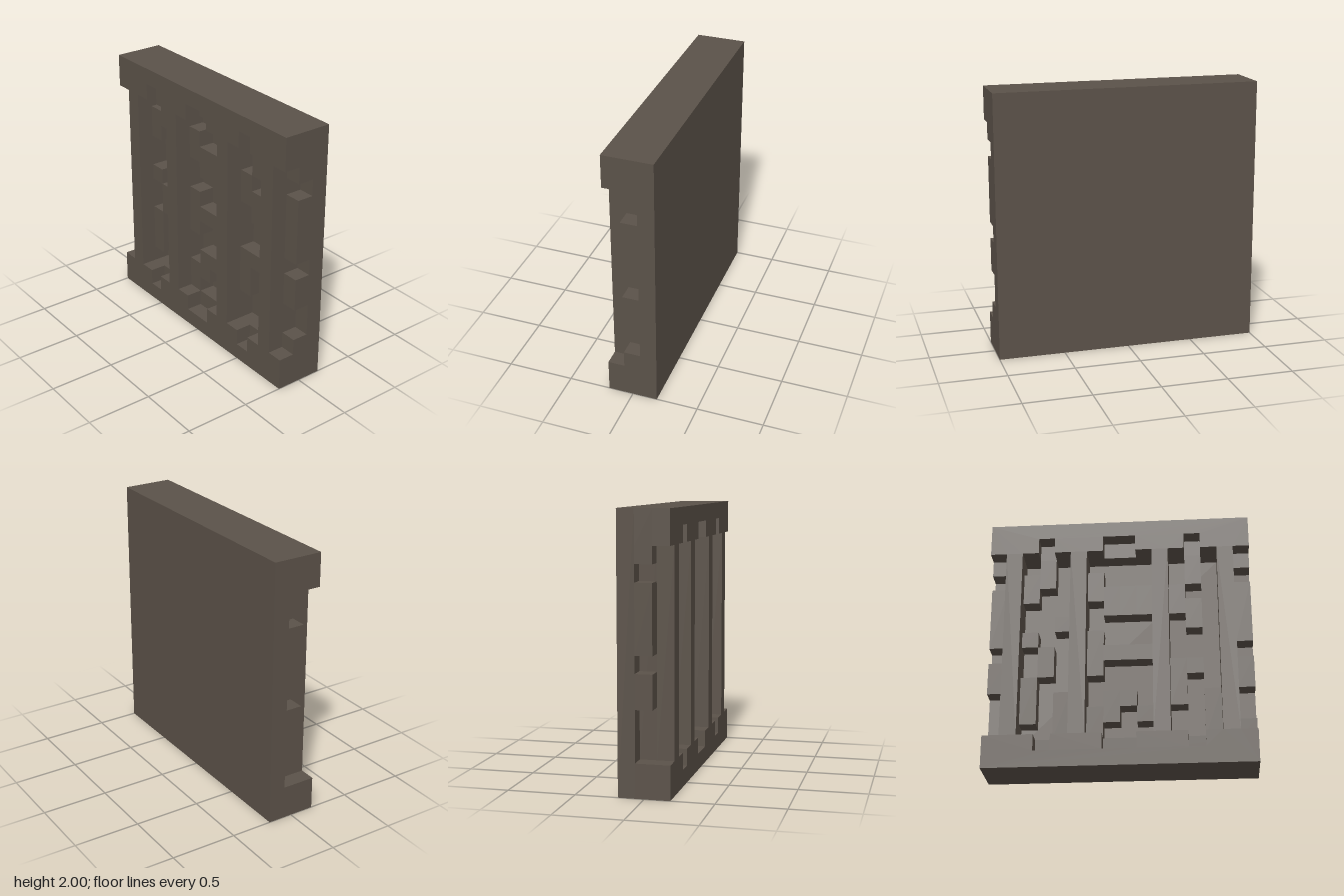
import * as THREE from 'three';

const U = 0.125; // grid unit: the panel is 16 x 16 units and 3 thick

export function createModel() {
  const group = new THREE.Group();
  group.name = 'slattedPanel';
  const stone = new THREE.MeshStandardMaterial({ color: 0x5b5249 });
  stone.name = 'dark brown';

  const add = (name, geometry) => {
    const mesh = new THREE.Mesh(geometry, stone);
    mesh.name = name;
    group.add(mesh);
    return mesh;
  };

  // Box from grid ranges: k along z, j up, d = depth from the -x face
  const block = (name, k0, k1, j0, j1, d0, d1) => {
    const mesh = add(name, new THREE.BoxGeometry((d1 - d0) * U, (j1 - j0) * U, (k1 - k0) * U));
    mesh.position.set(((d0 + d1) / 2 - 1.5) * U, ((j0 + j1) / 2) * U, ((k0 + k1) / 2 - 8) * U);
  };

  // Solid backing and the middle layer under the rails and slats
  block('backPanel', 0, 16, 0, 16, 2, 3);
  block('lowerRailCore', 0, 16, 0, 2, 1, 2);
  block('upperRailCore', 0, 16, 14, 16, 1, 2);
  for (const k of [1, 5, 10, 14]) block('slatCore', k, k + 1, 2, 14, 1, 2);

  // Raised blocks at the bottom of the grooves: column -> [from, to] heights
  const raised = {
    0: [[5, 7], [8, 12], [13, 14]],
    2: [[3, 6], [8, 9], [11, 13]],
    3: [[6, 8], [12, 14]],
    4: [[2, 5], [9, 10]],
    6: [[2, 4], [6, 9], [11, 13]],
    7: [[3, 5], [7, 8], [10, 12]],
    8: [[4, 5], [7, 8], [10, 12]],
    9: [[3, 4], [7, 8], [10, 12]],
    11: [[4, 7], [10, 12]],
    12: [[6, 7], [9, 11], [12, 14]],
    13: [[2, 5]],
    15: [[2, 3], [5, 7], [8, 12], [13, 14]],
  };
  for (const [k, runs] of Object.entries(raised)) {
    for (const [a, b] of runs) block('grooveBlock', +k, +k + 1, a, b, 1, 2);
  }

  // Outer frame with slats: open at both ends, three notched grooves
  const points = (list) => list.map(([k, j]) => new THREE.Vector2((k - 8) * U, j * U));
  const frame = new THREE.Shape(points([
    [0, 0], [16, 0], [16, 2], [15, 2], [15, 14], [16, 14],
    [16, 16], [0, 16], [0, 14], [1, 14], [1, 2], [0, 2],
  ]));
  for (const [a, b, n0, n1] of [[2, 5, 3, 4], [6, 10, 7, 9], [11, 14, 12, 13]]) {
    frame.holes.push(new THREE.Path(points([
      [a, 2], [n0, 2], [n0, 1], [n1, 1], [n1, 2], [b, 2],
      [b, 14], [n1, 14], [n1, 15], [n0, 15], [n0, 14], [a, 14],
    ])));
  }
  const frameGeometry = new THREE.ExtrudeGeometry(frame, { depth: U, bevelEnabled: false });
  frameGeometry.rotateY(-Math.PI / 2);
  add('slattedFrame', frameGeometry).position.x = -0.5 * U;

  return group;
}
